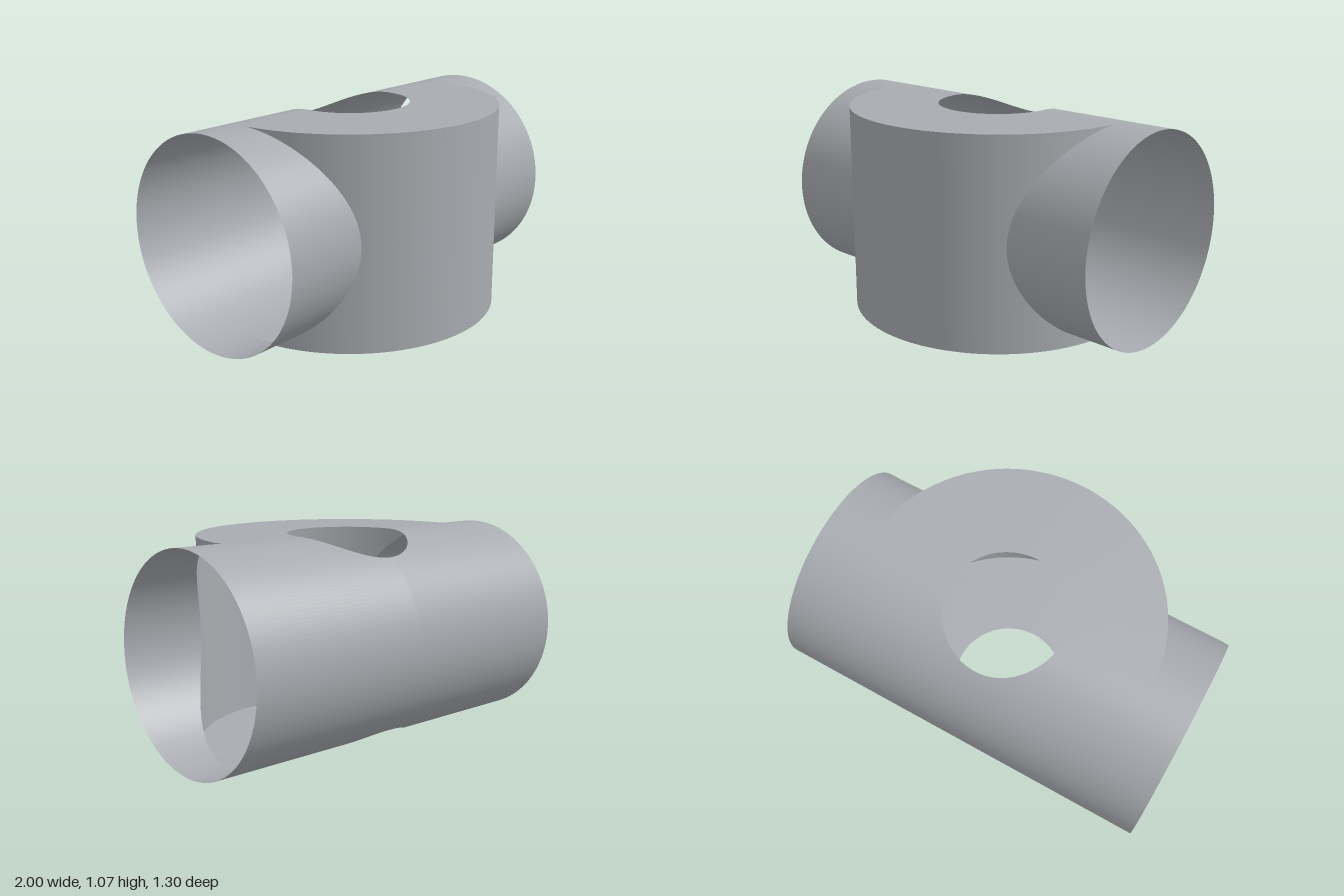
import * as THREE from 'three';

const TUBE_R = 0.537;   // horizontal tube, also its centre height
const DRUM_R = 0.765;   // upright half drum
const HOLE_R = 0.307;   // vertical through hole
const Z0 = -0.117;      // shared axis position
const HALF = Math.PI / 2;

const grey = new THREE.MeshStandardMaterial({ color: 0xa8abb0, side: THREE.DoubleSide });
grey.name = 'plain grey';

// Angles 0..90 degrees, with a row exactly where r*sin(angle) reaches cut and
// rows crowded towards it so the cut outline stays round.
function anglesWithCut(r, cut, n = 28) {
  const list = [];
  for (let i = 0; i <= n; i++) list.push(Math.asin((cut / r) * Math.sin((i / n) * HALF)));
  const last = list[n];
  if (last < HALF - 1e-4) for (let i = 1; i <= n; i++) list.push(last + ((HALF - last) * i) / n);
  return list;
}

// Ruled surface for one quarter (x > 0, upper half), mirrored to all four quarters.
// edge(a) gives the two end points of a row and the normal along it.
function mirroredSurface(name, angles, edge) {
  const group = new THREE.Group();
  group.name = name;
  for (const sx of [1, -1]) for (const sy of [1, -1]) {
    const pos = [], nor = [], idx = [];
    for (const a of angles) {
      const { p, q, n } = edge(a);
      for (const v of [p, q]) {
        pos.push(sx * v[0], TUBE_R + sy * v[1], Z0 + v[2]);
        nor.push(sx * n[0], sy * n[1], n[2]);
      }
    }
    // Pick the winding that agrees with the normals
    const k = 2 * Math.floor(angles.length / 2);
    const at = i => new THREE.Vector3().fromArray(pos, i * 3);
    const o = at(k + 1);
    const cross = at(k).sub(o).cross(at(k + 3).sub(o));
    const flip = cross.dot(new THREE.Vector3().fromArray(nor, k * 3)) < 0;
    for (let i = 0; i < angles.length - 1; i++) {
      const a = 2 * i, b = a + 1, c = a + 2, d = a + 3;
      if (flip) idx.push(b, d, a, a, d, c);
      else idx.push(b, a, d, a, c, d);
    }
    const geo = new THREE.BufferGeometry();
    geo.setAttribute('position', new THREE.Float32BufferAttribute(pos, 3));
    geo.setAttribute('normal', new THREE.Float32BufferAttribute(nor, 3));
    geo.setIndex(idx);
    const mesh = new THREE.Mesh(geo, grey);
    mesh.name = name + 'Quarter';
    group.add(mesh);
  }
  return group;
}

export function createModel() {
  const model = new THREE.Group();
  model.name = 'teePipe';
  const root = v => Math.sqrt(Math.max(0, v));
  const even = Array.from({ length: 49 }, (_, i) => (i / 48) * HALF);

  // Back half of the tube, pierced by the hole above and below
  model.add(mirroredSurface('tubeBack', anglesWithCut(TUBE_R, HOLE_R), a => {
    const y = TUBE_R * Math.cos(a), d = TUBE_R * Math.sin(a);
    return { p: [root(HOLE_R ** 2 - d * d), y, -d], q: [1, y, -d], n: [0, Math.cos(a), -Math.sin(a)] };
  }));

  // Front half of the tube, only outside the drum
  model.add(mirroredSurface('tubeFront', even, a => {
    const y = TUBE_R * Math.cos(a), d = TUBE_R * Math.sin(a);
    return { p: [root(DRUM_R ** 2 - d * d), y, d], q: [1, y, d], n: [0, Math.cos(a), Math.sin(a)] };
  }));

  // Drum wall, only outside the tube
  model.add(mirroredSurface('drumWall', anglesWithCut(DRUM_R, TUBE_R), a => {
    const x = DRUM_R * Math.cos(a), d = DRUM_R * Math.sin(a);
    return { p: [x, root(TUBE_R ** 2 - d * d), d], q: [x, TUBE_R, d], n: [Math.cos(a), 0, Math.sin(a)] };
  }));

  // Flat half-ring caps above and below the drum
  model.add(mirroredSurface('drumCap', even, a => {
    const c = Math.cos(a), s = Math.sin(a);
    return { p: [HOLE_R * c, TUBE_R, HOLE_R * s], q: [DRUM_R * c, TUBE_R, DRUM_R * s], n: [0, 1, 0] };
  }));

  return model;
}
